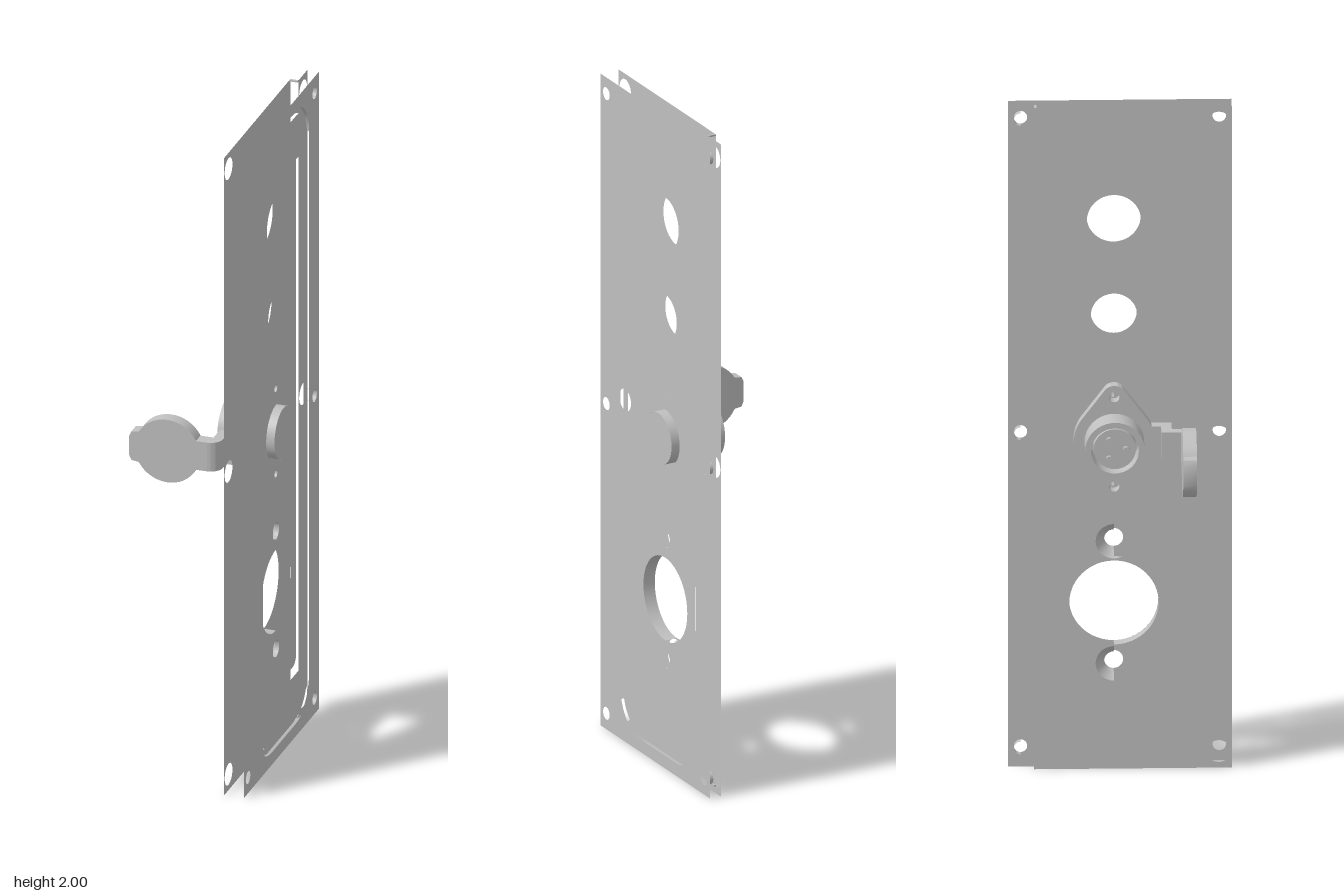
import * as THREE from 'three';
import { toCreasedNormals } from 'three/addons/utils/BufferGeometryUtils.js';

const ZC = -0.018; // shared z of all hole centres
const metal = new THREE.MeshStandardMaterial({ color: 0xbfbfbf, side: THREE.DoubleSide });
metal.name = 'greyMetal';

export function createModel() {
  const root = new THREE.Group();

  const add = (name, geo, x = 0, y = 0, z = 0, parent = root) => {
    const m = new THREE.Mesh(geo, metal);
    m.name = name;
    m.position.set(x, y, z);
    parent.add(m);
    return m;
  };

  // Rounded rectangle in (u = -z, v = y)
  const rect = (z0, z1, y0, y1, r, Type = THREE.Shape) => {
    const s = new Type(), a = -z1, b = -z0;
    s.moveTo(a + r, y0);
    s.lineTo(b - r, y0);
    if (r) s.absarc(b - r, y0 + r, r, -Math.PI / 2, 0);
    s.lineTo(b, y1 - r);
    if (r) s.absarc(b - r, y1 - r, r, 0, Math.PI / 2);
    s.lineTo(a + r, y1);
    if (r) s.absarc(a + r, y1 - r, r, Math.PI / 2, Math.PI);
    s.lineTo(a, y0 + r);
    if (r) s.absarc(a + r, y0 + r, r, Math.PI, Math.PI * 1.5);
    return s;
  };
  const hole = (z, y, r) => new THREE.Path().absarc(-z, y, r, 0, Math.PI * 2, true);
  const sheet = (name, x, shape, holes) => {
    shape.holes.push(...holes);
    add(name, new THREE.ShapeGeometry(shape, 24).rotateY(Math.PI / 2), x);
  };
  // Cylinder along x from x0 to x1
  const tube = (name, x0, x1, y, z, r0, r1 = r0, start = 0, len = Math.PI * 2, open = true, parent = root) =>
    add(name, new THREE.CylinderGeometry(r1, r0, x1 - x0, 40, 1, open, start, len).rotateZ(-Math.PI / 2),
      (x0 + x1) / 2, y, z, parent);
  const FRONT = -Math.PI / 2, BACK = Math.PI / 2;

  // Cover frame with gasket groove and recessed panel
  const rows = [0.05, 1, 1.95];
  const grooveOuter = T => rect(-0.235, 0.2, 0.04, 1.965, 0.115, T);
  const grooveInner = T => rect(-0.217, 0.183, 0.058, 1.947, 0.097, T);
  const window_ = T => rect(-0.19, 0.158, 0.197, 1.81, 0.03, T);
  sheet('coverFrame', 0.19, rect(-0.318, 0.318, 0.001, 2, 0), [grooveOuter(THREE.Path),
    ...rows.flatMap(y => [hole(-0.282, y, 0.019), hole(0.283, y, 0.019)])]);
  sheet('grooveFloor', 0.18, grooveOuter(), [grooveInner(THREE.Path)]);
  sheet('coverRing', 0.19, grooveInner(), [window_(THREE.Path)]);
  const openings = (cone, screw) => [hole(ZC, 1.657, 0.077), hole(ZC, 1.37, 0.066), hole(ZC, 1, 0.083),
    hole(ZC, 0.502, 0.127), hole(ZC, 0.687, cone), hole(ZC, 0.318, cone),
    hole(ZC, 1.135, screw), hole(ZC, 0.867, screw)];
  sheet('recessedPanel', 0.167, window_(), openings(0.027, 0.012));

  // Back plate with a stepped edge flange
  sheet('backPlate', 0.13, rect(-0.245, 0.318, 0, 2, 0),
    [...openings(0.052, 0.012), ...rows.map(y => hole(0.28, y, 0.033))]);
  sheet('backFlange', 0.155, rect(-0.318, -0.245, 0, 2, 0), rows.map(y => hole(-0.282, y, 0.033)));
  for (const y of [0.0025, 1.9975]) {
    add('flangeStepCorner', new THREE.BoxGeometry(0.024, 0.005, 0.007), 0.142, y, -0.2415);
  }

  // Hole walls
  for (const y of rows) tube('coverHoleWall', 0.17, 0.19, y, -0.282, 0.019, 0.019, BACK, Math.PI);
  tube('grooveCornerWall', 0.18, 0.19, 1.85, -0.12, 0.115, 0.115, Math.PI, Math.PI / 2);
  tube('largeHoleWall', 0.13, 0.167, 0.502, ZC, 0.127, 0.127, FRONT, Math.PI);
  for (const y of [0.867, 1.135]) tube('screwHoleWall', 0.13, 0.167, y, ZC, 0.012, 0.012, BACK, Math.PI);
  for (const y of [0.318, 0.687]) {
    tube('countersink', 0.13, 0.155, y, ZC, 0.052, 0.027, BACK, Math.PI);
    tube('countersinkHole', 0.155, 0.167, y, ZC, 0.027, 0.027, BACK, Math.PI);
  }
  tube('centreHoleWall', 0.13, 0.19, 1, ZC, 0.077, 0.077, FRONT, Math.PI);

  // Socket: flange, barrel, insert and pins
  const socket = new THREE.Group();
  socket.name = 'socket';
  root.add(socket);
  const d = 0.135, R = 0.115, r = 0.034, phi = Math.acos((R - r) / d), H = Math.PI / 2;
  const f = new THREE.Shape();
  f.absarc(0, d, r, H - phi, H + phi);
  f.absarc(0, 0, R, H + phi, 3 * H - phi);
  f.absarc(0, -d, r, 3 * H - phi, 3 * H + phi);
  f.absarc(0, 0, R, 3 * H + phi, 5 * H - phi);
  f.holes.push(hole(0, d, 0.015), hole(0, -d, 0.015));
  const extrude = (s, depth) => toCreasedNormals(
    new THREE.ExtrudeGeometry(s, { depth, bevelEnabled: false, curveSegments: 20 }), 0.6);
  add('socketFlange', extrude(f, 0.033).rotateY(H), 0.096, 1, ZC, socket);
  const ring = new THREE.Shape().absarc(0, 0, 0.085, 0, Math.PI * 2);
  ring.holes.push(hole(0, 0, 0.068));
  add('socketBarrel', extrude(ring, 0.077).rotateY(H), 0.02, 1, ZC, socket);
  tube('socketInsert', 0.035, 0.096, 1, ZC, 0.06, 0.06, 0, Math.PI * 2, false, socket);
  for (let i = 0; i < 3; i++) {
    const a = i * Math.PI * 2 / 3;
    tube('contactPin', 0.025, 0.036, 1 + 0.032 * Math.sin(a), ZC + 0.032 * Math.cos(a),
      0.009, 0.009, 0, Math.PI * 2, false, socket);
  }
  tube('socketCore', 0.129, 0.19, 1, ZC, 0.077, 0.077, 0, Math.PI * 2, false, socket);

  // Hinged cap: bent arm, disc and finger tab
  const cap = new THREE.Group();
  cap.name = 'cap';
  root.add(cap);
  const arm = new THREE.Shape(); // drawn in (x, z)
  arm.moveTo(0.129, 0.07);
  arm.lineTo(0.129, 0.145);
  arm.lineTo(0.075, 0.145);
  arm.lineTo(0.075, 0.173);
  arm.absarc(0.038, 0.173, 0.037, 0, H);
  arm.lineTo(-0.02, 0.21);
  arm.lineTo(-0.02, 0.171);
  arm.lineTo(0.046, 0.171);
  arm.lineTo(0.046, 0.115);
  arm.lineTo(0.096, 0.115);
  arm.lineTo(0.096, 0.07);
  add('capArm', extrude(arm, 0.09).rotateX(H), 0, 1.045, 0, cap);
  add('capDisc', new THREE.CylinderGeometry(0.098, 0.098, 0.039, 48).rotateX(H), -0.08, 1, 0.1905, cap);
  const tab = new THREE.Shape([[-0.15, -0.05], [-0.15, 0.05], [-0.188, 0.045], [-0.195, 0.03],
    [-0.195, -0.03], [-0.188, -0.045]].map(p => new THREE.Vector2(...p)));
  add('capTab', extrude(tab, 0.038), 0, 1, 0.1715, cap);

  return root;
}
